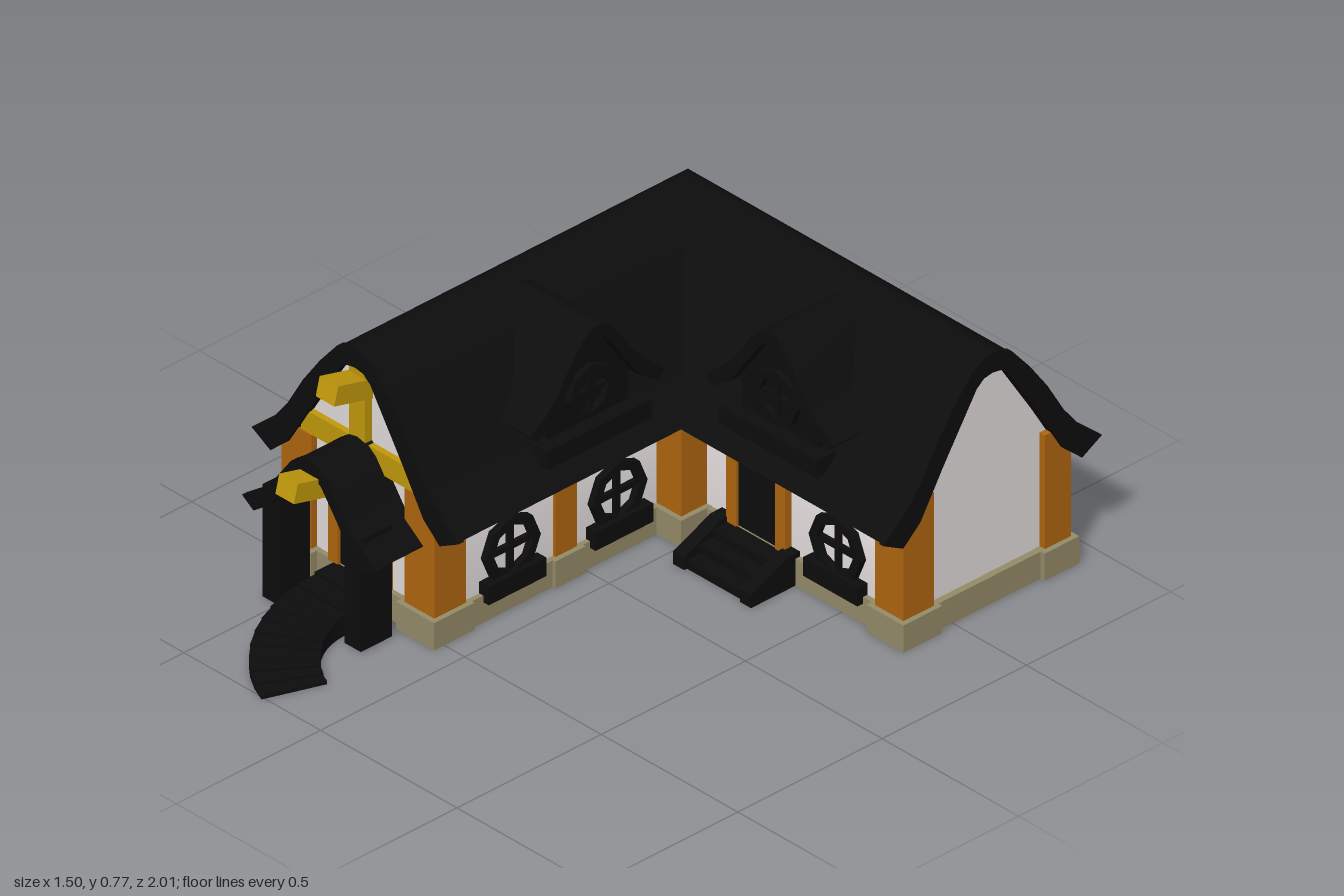
import * as THREE from 'three';
import { toCreasedNormals } from 'three/addons/utils/BufferGeometryUtils.js';

const mat = (color) => new THREE.MeshStandardMaterial({ color, side: THREE.DoubleSide });
const RX = -0.37, RZ = -0.62; // ridge lines of the front wing (x) and the side wing (z)

export function createModel() {
  const house = new THREE.Group();
  house.name = 'house';
  const black = mat(0x0d0d0d), wood = mat(0xb0660f), gold = mat(0xc29a0c);
  const plaster = mat(0xe4dddd), stone = mat(0x958c69);

  const add = (name, geo, material, parent = house) => {
    const mesh = new THREE.Mesh(geo, material);
    mesh.name = name;
    parent.add(mesh);
    return mesh;
  };
  // box given by its min and max corners
  const box = (name, material, x0, x1, y0, y1, z0, z1, parent) => {
    const mesh = add(name, new THREE.BoxGeometry(x1 - x0, y1 - y0, z1 - z0), material, parent);
    mesh.position.set((x0 + x1) / 2, (y0 + y1) / 2, (z0 + z1) / 2);
    return mesh;
  };
  const mirror = (pts) => pts.map(([d, y]) => [-d, y]);
  // closed arch band from half profiles running from the ridge outwards
  const band = (outer, inner) => [
    ...[...outer].reverse(), ...mirror(outer).slice(1),
    ...mirror(inner).reverse(), ...inner.slice(1)];
  const shapeOf = (pts) => new THREE.Shape(pts.map((p) => new THREE.Vector2(...p)));
  const extrude = (pts, z0, z1) => toCreasedNormals(
    new THREE.ExtrudeGeometry(shapeOf(pts), { depth: z1 - z0, bevelEnabled: false }).translate(0, 0, z0), 0.6);

  // sweeps a profile round the L-shaped plan with a mitred corner
  const sweepL = (profile, zEnd, xEnd) => {
    const n = profile.length, pos = [], idx = [];
    const stations = [
      (d) => [RX + d, zEnd], (d) => [RX + d, RZ + d], (d) => [xEnd, RZ + d]];
    for (const at of stations) for (const [d, y] of profile) {
      const [x, z] = at(d);
      pos.push(x, y, z);
    }
    for (let s = 0; s < 2; s++) for (let i = 0; i < n; i++) {
      const j = (i + 1) % n, a = s * n, c = a + n;
      idx.push(a + j, a + i, c + i, a + j, c + i, c + j);
    }
    const caps = THREE.ShapeUtils.triangulateShape(profile.map((p) => new THREE.Vector2(...p)), []);
    for (const [a, b, c] of caps) idx.push(a, b, c, c + 2 * n, b + 2 * n, a + 2 * n);
    const geo = new THREE.BufferGeometry();
    geo.setAttribute('position', new THREE.Float32BufferAttribute(pos, 3));
    geo.setIndex(idx);
    return toCreasedNormals(geo, 0.6);
  };

  // plinth and walls
  add('plinth', sweepL([[-0.285, 0], [0.285, 0], [0.285, 0.08], [-0.285, 0.08]], 0.515, 0.73), stone);
  const wallHalf = [[0, 0.72], [0.065, 0.7], [0.175, 0.53], [0.27, 0.37], [0.27, 0.08]];
  add('walls', sweepL([...[...wallHalf].reverse(), ...mirror(wallHalf).slice(1)], 0.5, 0.71), plaster);

  // main roof with raised edge trims
  const outer = [[0, 0.763], [0.03, 0.757], [0.065, 0.737], [0.125, 0.665], [0.185, 0.58], [0.24, 0.485], [0.285, 0.426], [0.37, 0.35]];
  const inner = [[0, 0.71], [0.03, 0.705], [0.055, 0.685], [0.17, 0.506], [0.25, 0.373], [0.31, 0.32]];
  add('roof', sweepL(band(outer, inner), 0.52, 0.745), black);
  const trim = band(outer.map(([d, y]) => [d * 1.025, y + 0.003]), inner.map(([d, y]) => [d, y - 0.005]));
  add('frontRoofTrim', extrude(trim, 0.51, 0.53), black).position.x = RX;
  const sideTrim = add('sideRoofTrim', extrude(trim, 0.735, 0.75), black);
  sideTrim.rotation.y = Math.PI / 2;
  sideTrim.position.z = RZ;

  // timber posts on stone blocks: x range, z range, top
  const posts = [
    [-0.65, -0.54, 0.41, 0.52, 0.42], [-0.2, -0.09, 0.41, 0.52, 0.42],
    [0.625, 0.73, -0.435, -0.33, 0.42], [0.625, 0.73, -0.91, -0.82, 0.42],
    [-0.65, -0.55, -0.91, -0.81, 0.38],
    [-0.11, -0.01, -0.35, -0.26, 0.34],
    [-0.11, -0.09, 0.025, 0.1, 0.34],
    [-0.65, -0.63, -0.32, -0.24, 0.36],
    [-0.07, 0.01, -0.91, -0.89, 0.36]];
  for (const [x0, x1, z0, z1, top] of posts) {
    box('timberPost', wood, x0, x1, 0.08, top, z0, z1);
    box('postBlock', stone, x0 - 0.015, x1 + 0.015, 0, 0.081, z0 - 0.015, z1 + 0.015);
  }

  // octagonal windows with cross bars and a sill, facing local +z
  const octagon = (r) => Array.from({ length: 8 }, (_, i) =>
    new THREE.Vector2(r * Math.cos(i * Math.PI / 4), r * Math.sin(i * Math.PI / 4)));
  const makeWindow = (name, x, z, turn) => {
    const g = new THREE.Group();
    g.name = name;
    const ring = new THREE.Shape(octagon(0.095));
    ring.holes.push(new THREE.Path(octagon(0.068)));
    add('windowFrame', new THREE.ExtrudeGeometry(ring, { depth: 0.035, bevelEnabled: false }), black, g)
      .position.set(0, 0.182, -0.015);
    box('verticalBar', black, -0.009, 0.009, 0.1, 0.265, -0.01, 0.012, g);
    box('horizontalBar', black, -0.08, 0.08, 0.173, 0.191, -0.01, 0.012, g);
    box('sill', black, -0.1, 0.1, 0.06, 0.115, -0.01, 0.035, g);
    g.position.set(x, 0, z);
    g.rotation.y = turn;
    house.add(g);
  };
  const Q = Math.PI / 2;
  makeWindow('frontWindow', 0.477, -0.35, 0);
  for (const z of [0.255, -0.115]) makeWindow('courtyardWindow', -0.1, z, Q);
  for (const z of [-0.6, 0.09]) makeWindow('outerWindow', -0.64, z, -Q);
  for (const x of [0.34, -0.33]) makeWindow('backWindow', x, -0.89, 2 * Q);

  // doors with timber frames
  const makeDoor = (name, x, z, lintel) => {
    const g = new THREE.Group();
    g.name = name;
    box('doorLeaf', black, -0.074, 0.074, 0.075, 0.306, -0.01, 0.012, g);
    for (const s of [-1, 1]) box('doorJamb', wood, s * 0.09 - 0.018, s * 0.09 + 0.018, 0.08, 0.32, -0.01, 0.022, g);
    box('lintel', wood, -lintel, lintel, 0.305, 0.345, -0.01, 0.025, g);
    g.position.set(x, 0, z);
    house.add(g);
  };
  makeDoor('frontDoor', RX, 0.5, 0.125);
  makeDoor('sideDoor', 0.19, -0.35, 0.11);

  // gold gable timbers and projecting beam ends
  box('gableTieBeam', gold, RX - 0.21, RX + 0.21, 0.42, 0.485, 0.49, 0.518);
  box('gableKingPost', gold, RX - 0.03, RX + 0.03, 0.35, 0.7, 0.49, 0.523);
  for (const [y, z, len] of [[0.655, 0.54, 0.18], [0.425, 0.68, 0.18]]) {
    const beam = box('beamEnd', gold, RX - 0.034, RX + 0.034, y - 0.028, y + 0.028, z - len / 2, z + len / 2);
    beam.rotation.x = -0.25;
  }

  // porch
  const porchOuter = [[0, 0.497], [0.03, 0.49], [0.065, 0.463], [0.11, 0.4], [0.15, 0.345], [0.24, 0.278]];
  const porchInner = [[0, 0.455], [0.04, 0.44], [0.1, 0.36], [0.14, 0.3], [0.205, 0.253]];
  add('porchRoof', extrude(band(porchOuter, porchInner), 0.5, 0.68), black).position.x = RX;
  const porchTrim = band(porchOuter.map(([d, y]) => [d * 1.03, y + 0.003]), porchInner);
  add('porchRoofTrim', extrude(porchTrim, 0.67, 0.688), black).position.x = RX;
  for (const s of [-1, 1]) {
    const x = RX + s * 0.15;
    box('porchPost', black, x - 0.03, x + 0.03, 0.005, 0.34, 0.573, 0.68);
  }

  // curved front stairs: straight start, then a turn towards the courtyard
  const cx = -0.075, cz = 0.647, r0 = 0.205, r1 = 0.385, turn = 70 * Math.PI / 180, steps = 9;
  box('frontStep', black, -0.46, -0.28, 0, 0.078, 0.5, 0.585);
  box('frontStep', black, -0.46, -0.28, 0, 0.07, 0.585, cz);
  for (let i = 0; i < steps; i++) {
    const a = turn * i / steps, b = turn * (i + 1) / steps;
    const at = (r, t) => [cx - r * Math.cos(t), -(cz + r * Math.sin(t))];
    const wedge = new THREE.ExtrudeGeometry(
      shapeOf([at(r0, a), at(r1, a), at(r1, b), at(r0, b)]),
      { depth: 0.062 - 0.0065 * i, bevelEnabled: false });
    add('frontStep', wedge.rotateX(-Q), black);
  }

  // side door stairs between sloping cheeks
  for (let i = 0; i < 3; i++) box('sideStep', black, 0.08, 0.3, 0, 0.078 - i * 0.026, -0.36, -0.28 + i * 0.045);
  for (const x of [0.045, 0.29]) {
    const cheek = extrude([[0.18, 0], [0.18, 0.038], [0.31, 0.095], [0.35, 0.095], [0.35, 0]], 0, 0.04);
    add('stairCheek', cheek.rotateY(Q), black).position.set(x, 0, 0);
  }

  // dormers, facing local +z with the main ridge at local z = 0
  const dormerOuter = [[0, 0.752], [0.03, 0.745], [0.07, 0.705], [0.14, 0.6], [0.18, 0.555], [0.235, 0.52]];
  const dormerInner = [[0, 0.715], [0.03, 0.705], [0.11, 0.59], [0.15, 0.535], [0.21, 0.495]];
  const makeDormer = (x, z, rot) => {
    const g = new THREE.Group();
    g.name = 'dormer';
    add('dormerRoof', extrude(band(dormerOuter, dormerInner), 0.03, 0.328), black, g);
    add('dormerWall', extrude([[-0.14, 0.38], [0.14, 0.38], [0.14, 0.56], [0.03, 0.71], [-0.03, 0.71], [-0.14, 0.56]], 0.1, 0.292), black, g);
    const ring = new THREE.Shape(octagon(0.08));
    ring.holes.push(new THREE.Path(octagon(0.058)));
    add('dormerWindow', new THREE.ExtrudeGeometry(ring, { depth: 0.025, bevelEnabled: false }), black, g)
      .position.set(0, 0.545, 0.285);
    box('dormerBar', black, -0.008, 0.008, 0.475, 0.615, 0.285, 0.303, g);
    box('dormerBar', black, -0.07, 0.07, 0.537, 0.553, 0.285, 0.303, g);
    box('dormerSill', black, -0.18, 0.18, 0.4, 0.455, 0.27, 0.335, g);
    g.position.set(x, 0, z);
    g.rotation.y = rot;
    house.add(g);
  };
  makeDormer(0.28, RZ, 0);
  makeDormer(RX, 0, Q);

  return house;
}
